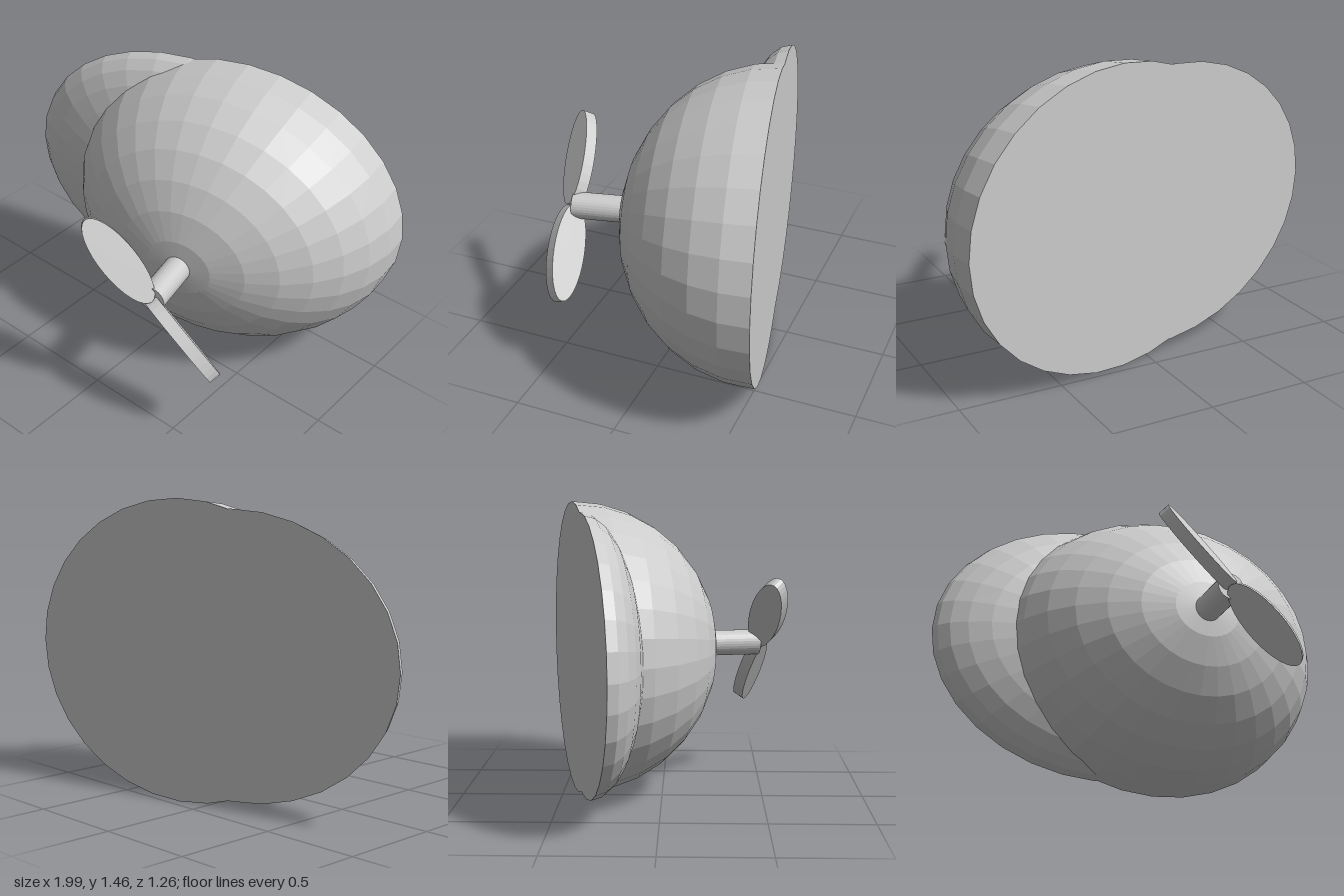
import * as THREE from 'three';

const material = new THREE.MeshStandardMaterial({ color: 0xcccccc, flatShading: true });

function addMesh(parent, name, geometry) {
  const mesh = new THREE.Mesh(geometry, material);
  mesh.name = name;
  parent.add(mesh);
  return mesh;
}

// Half ellipsoid bulging towards +z, closed by a flat back
function addDome(parent, name, x, rx, ry, depth) {
  const dome = new THREE.Group();
  dome.name = name;
  dome.position.x = x;
  const shell = new THREE.SphereGeometry(1, 32, 8, 0, Math.PI * 2, 0, Math.PI / 2);
  addMesh(dome, name + 'Shell', shell.rotateX(Math.PI / 2).scale(rx, ry, depth));
  const back = new THREE.CircleGeometry(1, 32);
  addMesh(dome, name + 'Back', back.rotateY(Math.PI).scale(rx, ry, 1));
  parent.add(dome);
}

export function createModel() {
  const model = new THREE.Group();
  model.name = 'domedPropeller';

  // Everything sits on one tilted back plane
  const body = new THREE.Group();
  body.name = 'body';
  body.position.set(0.15, 0.733, -0.453);
  body.rotation.y = 0.216;
  model.add(body);

  addDome(body, 'mainDome', 0, 0.85, 0.73, 0.72);
  addDome(body, 'sideDome', -0.307, 0.87, 0.685, 0.265);

  // Shaft out of the main dome's pole
  const shaft = new THREE.CylinderGeometry(0.065, 0.065, 0.3, 32).rotateX(Math.PI / 2);
  addMesh(body, 'shaft', shaft).position.z = 0.815;

  // Two pitched oval blades, opposite each other
  const propeller = new THREE.Group();
  propeller.name = 'propeller';
  propeller.position.z = 0.97;
  body.add(propeller);
  const blade = new THREE.CylinderGeometry(1, 1, 0.06, 32)
    .scale(0.24, 1, 0.085)
    .rotateX(Math.PI * 0.75)
    .translate(0.235, 0, 0);
  [135, -45].forEach((angle, i) => {
    const mesh = addMesh(propeller, i ? 'lowerBlade' : 'upperBlade', blade);
    mesh.rotation.z = THREE.MathUtils.degToRad(angle);
  });

  return model;
}
